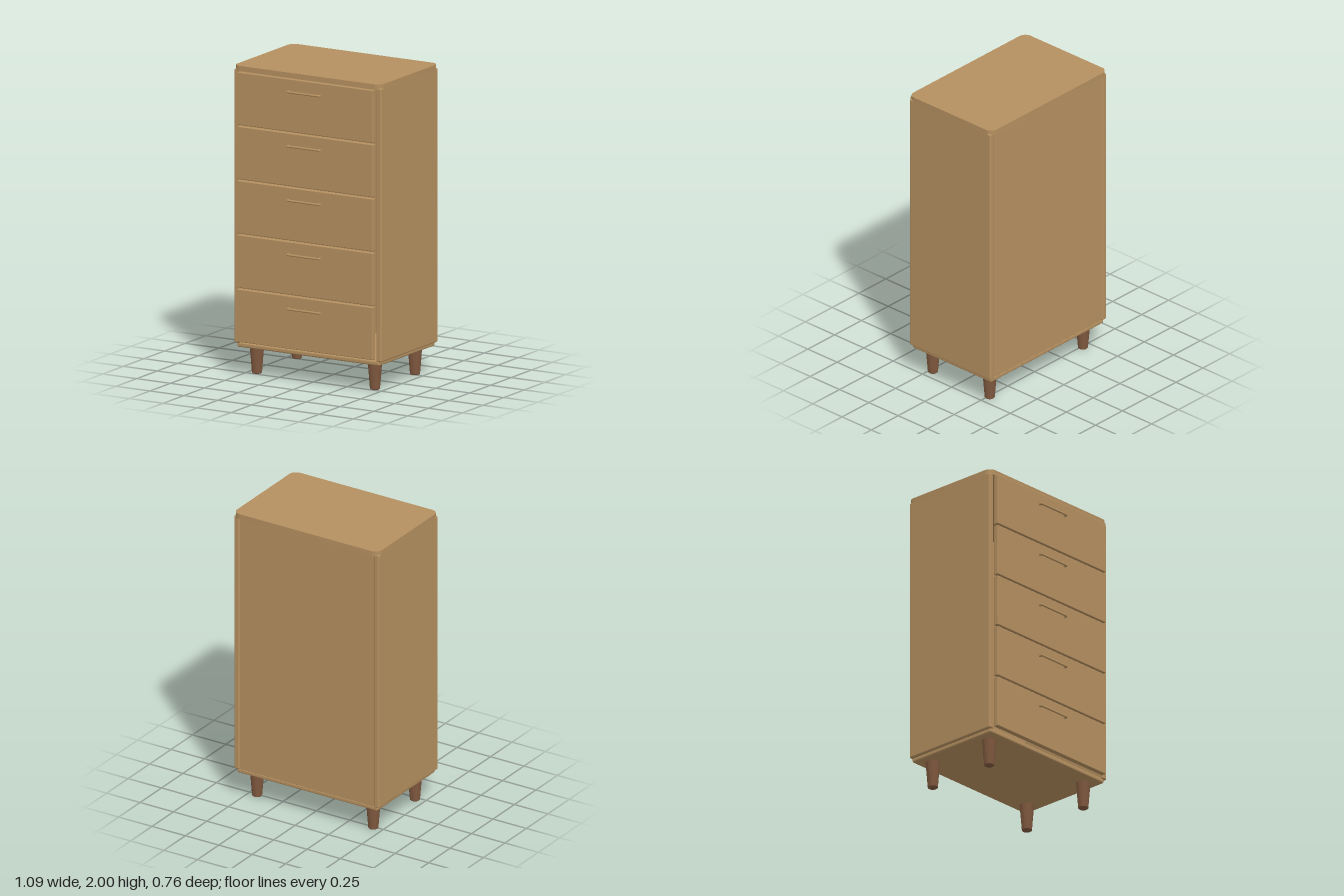
import * as THREE from 'three';
import { RoundedBoxGeometry } from 'three/addons/geometries/RoundedBoxGeometry.js';
import { toCreasedNormals } from 'three/addons/utils/BufferGeometryUtils.js';

const wood = new THREE.MeshStandardMaterial({ color: 0xb59060 });
const darkWood = new THREE.MeshStandardMaterial({ color: 0x80593f });

function add(parent, name, geometry, material, x = 0, y = 0, z = 0) {
  const mesh = new THREE.Mesh(geometry, material);
  mesh.name = name;
  mesh.position.set(x, y, z);
  parent.add(mesh);
  return mesh;
}

// Softly rounded board given by its minimum and maximum corners
function board(parent, name, [x0, y0, z0], [x1, y1, z1], radius) {
  const geometry = new RoundedBoxGeometry(x1 - x0, y1 - y0, z1 - z0, 3, radius);
  return add(parent, name, geometry, wood, (x0 + x1) / 2, (y0 + y1) / 2, (z0 + z1) / 2);
}

// Flat slab with rounded plan corners, its underside at y = 0
function roundedSlab(width, depth, height, r) {
  const w = width / 2, d = depth / 2;
  const s = new THREE.Shape();
  s.absarc(w - r, d - r, r, 0, Math.PI / 2);
  s.absarc(-w + r, d - r, r, Math.PI / 2, Math.PI);
  s.absarc(-w + r, -d + r, r, Math.PI, Math.PI * 1.5);
  s.absarc(w - r, -d + r, r, Math.PI * 1.5, Math.PI * 2);
  s.closePath();
  const g = new THREE.ExtrudeGeometry(s, { depth: height, bevelEnabled: false, curveSegments: 10 });
  return toCreasedNormals(g.rotateX(-Math.PI / 2), 0.6);
}

// Slim bar pull on two short posts
function createHandle() {
  const handle = new THREE.Group();
  handle.name = 'handle';
  const bar = new THREE.CapsuleGeometry(0.007, 0.232, 4, 12).rotateZ(Math.PI / 2);
  add(handle, 'handleBar', bar, wood, 0, 0, 0.021);
  for (const side of [-1, 1]) {
    add(handle, 'handlePost', new THREE.BoxGeometry(0.013, 0.012, 0.022), wood, side * 0.116, 0, 0.009);
  }
  return handle;
}

export function createModel() {
  const model = new THREE.Group();
  model.name = 'chestOfDrawers';

  // Carcass
  add(model, 'topPanel', roundedSlab(1.086, 0.71, 0.036, 0.05), wood, 0, 1.964, -0.025);
  board(model, 'bottomPanel', [-0.525, 0.177, -0.36], [0.525, 0.208, 0.315], 0.01);
  board(model, 'backPanel', [-0.505, 0.205, -0.36], [0.505, 1.955, -0.34], 0.002);
  for (const side of [-1, 1]) {
    const panel = board(model, side > 0 ? 'leftPanel' : 'rightPanel',
      [0.503, 0.203, -0.368], [0.543, 1.975, 0.322], 0.01);
    panel.position.x *= side;
  }

  // Five equal drawers
  for (let i = 0; i < 5; i++) {
    const drawer = new THREE.Group();
    drawer.name = 'drawer' + (i + 1);
    drawer.position.y = 0.22 + i * 0.351;
    board(drawer, 'drawerFront', [-0.5, 0, 0.32], [0.5, 0.341, 0.354], 0.005);
    const handle = createHandle();
    handle.position.set(0, 0.261, 0.352);
    drawer.add(handle);
    model.add(drawer);
  }

  // Tapered round legs with softened feet
  const profile = [[0, 0], [0.026, 0], [0.032, 0.005], [0.046, 0.18], [0, 0.18]]
    .map(([r, y]) => new THREE.Vector2(r, y));
  const legGeometry = toCreasedNormals(new THREE.LatheGeometry(profile, 28), 0.7);
  for (const x of [-0.435, 0.435]) {
    for (const z of [-0.265, 0.22]) add(model, 'leg', legGeometry, darkWood, x, 0, z);
  }

  return model;
}
